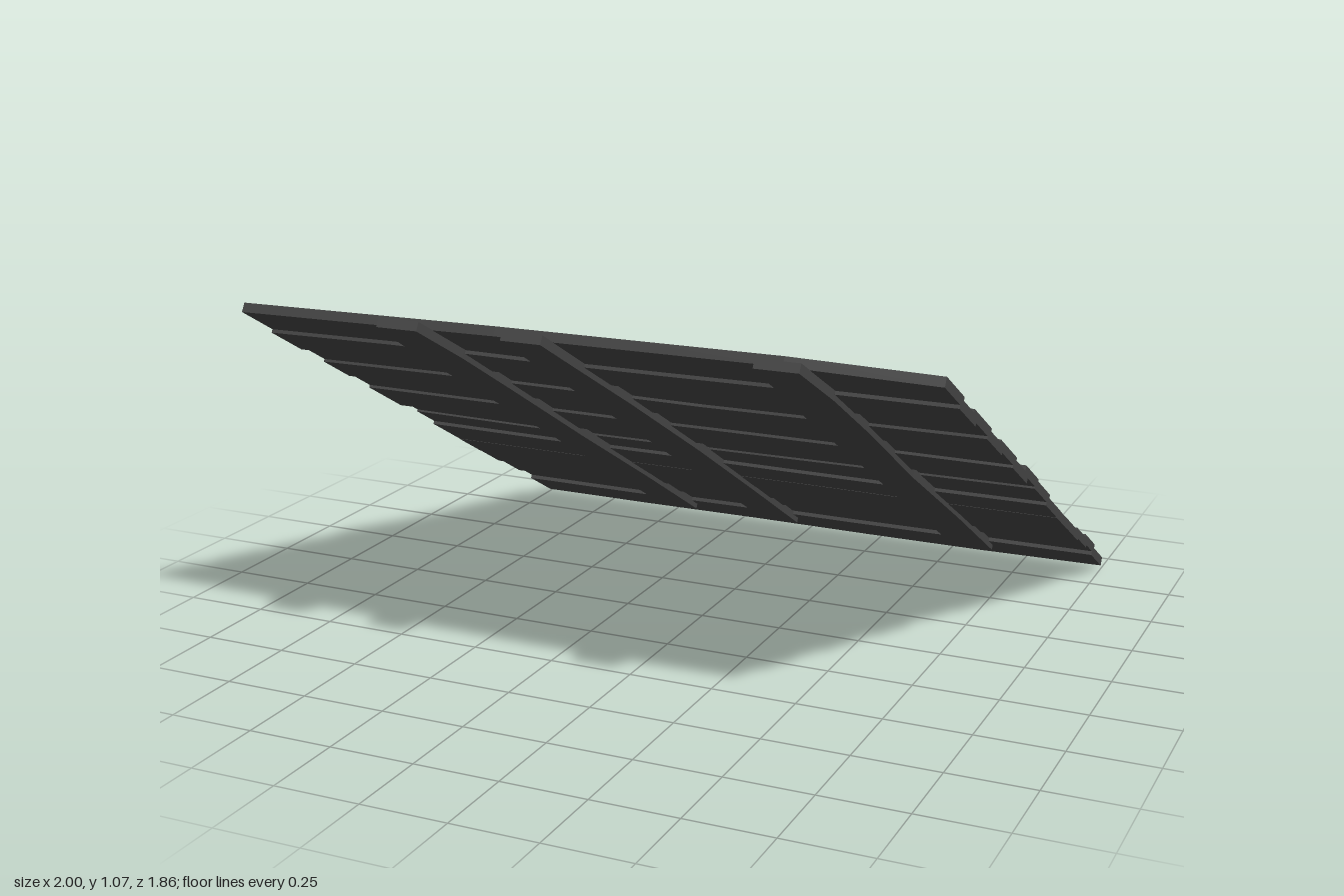
import * as THREE from 'three';

const SLOPE = Math.PI / 6;
const COS = Math.cos(SLOPE), SIN = Math.sin(SLOPE);
const THICK = 0.027;
const XS = [-1, -0.6, -0.2, 0.2, 0.6, 1];

// wavy seams between planks, from the high front edge to the low back edge:
// plan depth at each of XS
const SEAMS = [
  [0.82, 0.835, 0.85, 0.855, 0.86, 0.835],
  [0.665, 0.68, 0.67, 0.675, 0.685, 0.685],
  [0.58, 0.58, 0.585, 0.58, 0.585, 0.595],
  [0.42, 0.43, 0.425, 0.415, 0.425, 0.435],
  [0.345, 0.35, 0.345, 0.35, 0.35, 0.345],
  [0.19, 0.185, 0.18, 0.185, 0.185, 0.18],
  [0.07, 0.065, 0.065, 0.07, 0.075, 0.08],
  [-0.075, -0.095, -0.09, -0.08, -0.07, -0.06],
  [-0.17, -0.185, -0.185, -0.195, -0.2, -0.195],
  [-0.33, -0.335, -0.335, -0.325, -0.335, -0.33],
  [-0.41, -0.415, -0.405, -0.395, -0.4, -0.4],
  [-0.53, -0.525, -0.535, -0.535, -0.545, -0.55],
  [-0.67, -0.665, -0.65, -0.645, -0.645, -0.665],
  [-0.805, -0.81, -0.8, -0.805, -0.8, -0.795],
  [-0.92, -0.925, -0.92, -0.93, -0.93, -0.91],
];
// height of each plank's upper face above the sloping plane
const TOPS = [0.499, 0.489, 0.498, 0.49, 0.497, 0.489, 0.504,
  0.498, 0.488, 0.487, 0.488, 0.494, 0.502, 0.49];

export function createModel() {
  const model = new THREE.Group();
  model.name = 'slopedPlankPanel';
  const panel = new THREE.Group();
  panel.name = 'panel';
  panel.rotation.x = -SLOPE;
  model.add(panel);
  const wood = new THREE.MeshStandardMaterial({ color: 0x444444, flatShading: true });

  // flat board cut from an outline, its upper face at the given height
  const board = (name, points, top, thick) => {
    const shape = new THREE.Shape(points.map(([x, z]) => new THREE.Vector2(x, z)));
    const geo = new THREE.ExtrudeGeometry(shape, { depth: thick, bevelEnabled: false });
    geo.rotateX(Math.PI / 2);
    const mesh = new THREE.Mesh(geo, wood);
    mesh.name = name;
    mesh.position.y = top;
    panel.add(mesh);
  };

  // planks, the lower ones tucked under their higher neighbours
  TOPS.forEach((top, i) => {
    const tuck = (j) => (TOPS[j] > top ? 0.03 : 0);
    const edge = (seam, shift) => seam.map((z, k) => [XS[k], (z + top * SIN) / COS + shift]);
    const front = edge(SEAMS[i], tuck(i - 1));
    const back = edge(SEAMS[i + 1], -tuck(i + 1));
    board('plank' + (i + 1), [...back, ...front.reverse()], top, THICK);
  });

  // three battens under the planks: left and right edges from low end to high end
  const along = [-0.67, -0.2, 0.3, 0.8, 1.1, 1.33];
  const battens = [
    [[-0.51, -0.51, -0.51, -0.52, -0.525, -0.51], [-0.38, -0.375, -0.38, -0.375, -0.375, -0.39]],
    [[-0.135, -0.14, -0.135, -0.14, -0.145, -0.145], [-0.01, 0, 0.005, -0.005, -0.02, -0.03]],
    [[0.535, 0.53, 0.535, 0.53, 0.54, 0.545], [0.665, 0.67, 0.665, 0.68, 0.68, 0.665]],
  ];
  battens.forEach(([low, high], i) => {
    const side = (xs) => xs.map((x, k) => [x, along[k]]);
    board('batten' + (i + 1), [...side(high), ...side(low).reverse()], 0.473, 0.026);
  });

  return model;
}
